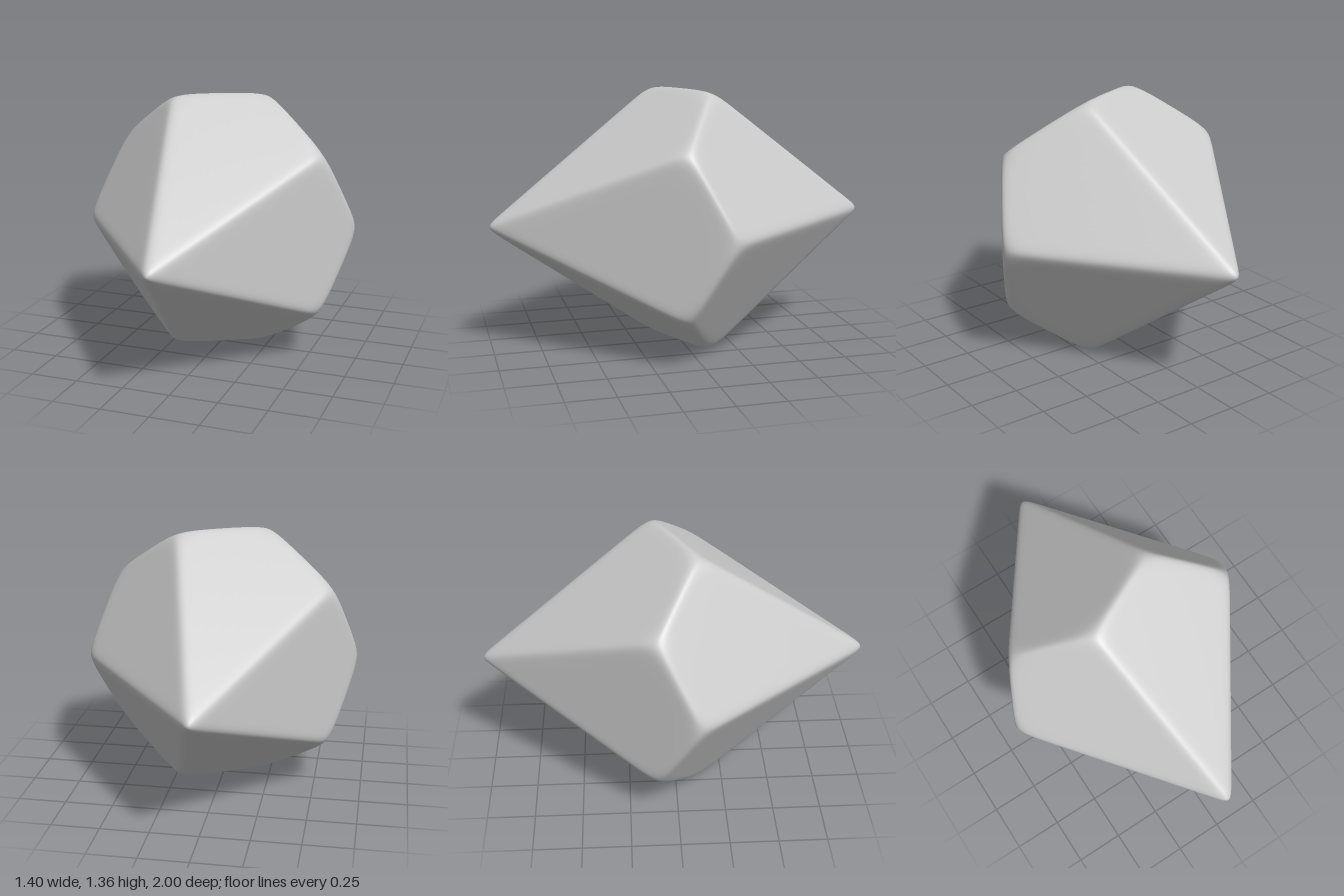
import * as THREE from 'three';

const POLE = 1.037;                  // sharp tip, before rounding
const RING = 0.727;                  // radius of the zigzag ring
const CENTRE_Y = 0.68;
const SHARPNESS = 45;                // higher gives tighter rounded edges
const SEGMENTS = 26;

// Ring offset that keeps every kite face flat
const c36 = Math.cos(Math.PI / 5);
const OFFSET = POLE * (1 - c36) / (1 + c36);

const ringPoint = (step, z) => new THREE.Vector3(
  RING * Math.cos(step * Math.PI / 5), RING * Math.sin(step * Math.PI / 5), z);
const turnBack = (p) => new THREE.Vector3(-p.x, p.y, -p.z);

// Ten kites: five around the front tip, five around the back tip
function makeKites() {
  const kites = [];
  for (let i = 0; i < 10; i += 2) {
    const kite = [
      new THREE.Vector3(0, 0, POLE),
      ringPoint(i - 1, OFFSET), ringPoint(i, -OFFSET), ringPoint(i + 1, OFFSET),
    ];
    kites.push(kite, kite.map(turnBack));
  }
  return kites;
}

// Planes as normals divided by their distance from the centre
function makePlanes(kites) {
  const planes = kites.map(([a, b, , d]) => {
    const n = b.clone().sub(a).cross(d.clone().sub(a)).normalize();
    return n.divideScalar(n.dot(a));
  });
  // Slight blunting of the ring corners
  for (let i = 0; i < 10; i++) {
    const corner = ringPoint(i, i % 2 ? OFFSET : -OFFSET);
    const reach = corner.length() - 0.02;
    planes.push(corner.normalize().divideScalar(reach));
  }
  return planes;
}

// Pulls a point in to the rounded surface and finds the normal there
function roundOff(p, planes) {
  let sum = 0;
  const normal = new THREE.Vector3();
  for (const n of planes) {
    const t = n.dot(p);
    if (t <= 0) continue;
    sum += Math.pow(t, SHARPNESS);
    normal.addScaledVector(n, Math.pow(t, SHARPNESS - 1));
  }
  p.multiplyScalar(Math.pow(sum, -1 / SHARPNESS));
  return normal.normalize();
}

function makeDieGeometry() {
  const kites = makeKites();
  const planes = makePlanes(kites);
  const positions = [], normals = [], indices = [];
  // Grid lines crowd toward the face edges, where the rounding is
  const ease = (i) => (1 - Math.cos(Math.PI * i / SEGMENTS)) / 2;
  const row = SEGMENTS + 1;

  for (const [a, b, c, d] of kites) {
    const start = positions.length / 3;
    for (let j = 0; j <= SEGMENTS; j++) {
      for (let i = 0; i <= SEGMENTS; i++) {
        const u = ease(i), v = ease(j);
        const p = a.clone().lerp(b, u).lerp(d.clone().lerp(c, u), v);
        const n = roundOff(p, planes);
        positions.push(p.x, p.y, p.z);
        normals.push(n.x, n.y, n.z);
        if (i < SEGMENTS && j < SEGMENTS) {
          const k = start + j * row + i;
          indices.push(k, k + 1, k + row + 1, k, k + row + 1, k + row);
        }
      }
    }
  }
  const geometry = new THREE.BufferGeometry();
  geometry.setAttribute('position', new THREE.Float32BufferAttribute(positions, 3));
  geometry.setAttribute('normal', new THREE.Float32BufferAttribute(normals, 3));
  geometry.setIndex(indices);
  return geometry;
}

export function createModel() {
  const group = new THREE.Group();
  group.name = 'tenSidedDie';
  const grey = new THREE.MeshStandardMaterial({ color: 0xcccccc });
  grey.name = 'light grey';
  const die = new THREE.Mesh(makeDieGeometry(), grey);
  die.name = 'dieBody';
  die.position.y = CENTRE_Y;
  group.add(die);
  return group;
}
